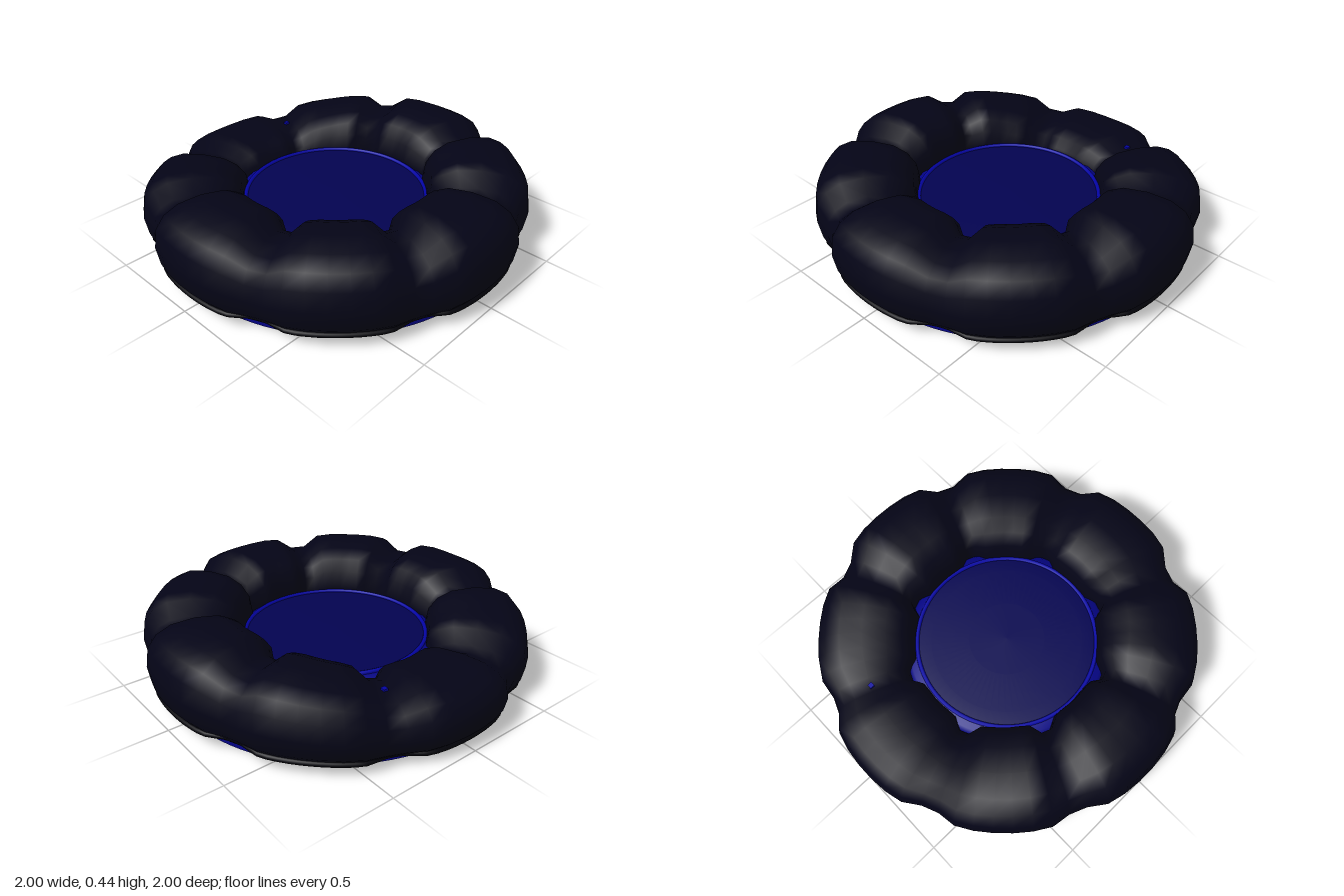
import * as THREE from 'three';

const material = (name, color, side = THREE.FrontSide) => {
  const m = new THREE.MeshStandardMaterial({ color, side });
  m.name = name;
  return m;
};

const PUFFS = 8, BOTTOM = 0.005;

// Measurements of the padded ring at angle t, where t = 0 is the back
function ringAt(t) {
  const step = (Math.PI * 2) / PUFFS;
  const phase = (t / step - Math.round(t / step)) * 2;   // -1..1 across one puff
  const pinch = THREE.MathUtils.smoothstep(Math.abs(phase), 0.55, 0.9);
  const fromBack = Math.abs(Math.atan2(Math.sin(t), Math.cos(t))) * 180 / Math.PI;
  const s = THREE.MathUtils.smoothstep(fromBack, 0, 85);
  const full = fromBack > 67.5 ? 0.44 : 0.31 + 0.13 * s;  // lower entrance at the back
  return {
    top: full * (1 - 0.16 * pinch),
    full,
    outer: 1 - 0.04 * pinch,
    inner: 0.48 + 0.055 * pinch,
  };
}

// Padded ring: a rounded cross-section swept round, pinched between puffs
function bolsterGeometry(around = 64, sides = 16) {
  const pos = [], idx = [];
  const round = v => Math.sign(v) * Math.pow(Math.abs(v), 2 / 2.5);
  for (let i = 0; i < around; i++) {
    const t = ((i + 0.5) / around) * Math.PI * 2;
    const { top, outer, inner } = ringAt(t);
    for (let j = 0; j < sides; j++) {
      const p = (j / sides) * Math.PI * 2;
      const r = (outer + inner) / 2 + (outer - inner) / 2 * round(Math.cos(p));
      const y = (top + BOTTOM) / 2 + (top - BOTTOM) / 2 * round(Math.sin(p));
      pos.push(r * Math.sin(t), y, -r * Math.cos(t));
      const a = i * sides + j, b = i * sides + (j + 1) % sides;
      const n = ((i + 1) % around) * sides;
      const c = n + j, d = n + (j + 1) % sides;
      idx.push(a, b, c, b, d, c);
    }
  }
  const g = new THREE.BufferGeometry();
  g.setAttribute('position', new THREE.Float32BufferAttribute(pos, 3));
  g.setIndex(idx);
  g.computeVertexNormals();
  return g;
}

export function createModel() {
  const group = new THREE.Group();
  const navy = material('darkNavyFabric', 0x040416);
  const seam = material('darkSeam', 0x020209, THREE.DoubleSide);
  const blue = material('deepBlueFabric', 0x030350, THREE.DoubleSide);
  const base = material('mediumBlueFabric', 0x040484, THREE.DoubleSide);
  const trim = material('brightBlueTrim', 0x0404a4, THREE.DoubleSide);

  const add = (name, geometry, mat, y = 0) => {
    const mesh = new THREE.Mesh(geometry, mat);
    mesh.name = name;
    mesh.position.y = y;
    group.add(mesh);
    return mesh;
  };
  const flat = (geometry, up) => geometry.rotateX(up ? -Math.PI / 2 : Math.PI / 2);
  const lathe = points => new THREE.LatheGeometry(
    points.map(([x, y]) => new THREE.Vector2(x, y)), 64);

  add('bolster', bolsterGeometry(), navy);

  // Piping that follows the puffs low on the outside
  const path = [];
  for (let i = 0; i < 64; i++) {
    const t = ((i + 0.5) / 64) * Math.PI * 2;
    const { outer, full } = ringAt(t);
    const r = outer - 0.04;
    path.push(new THREE.Vector3(r * Math.sin(t), 0.08 * full / 0.44, -r * Math.cos(t)));
  }
  add('lowerPiping', new THREE.TubeGeometry(
    new THREE.CatmullRomCurve3(path, true), 128, 0.014, 8, true), seam);

  // Base: rim band and underside panels
  add('baseRim', new THREE.CylinderGeometry(0.88, 0.88, 0.04, 96, 1, true), base, 0.02);
  add('undersidePanel', flat(new THREE.CircleGeometry(0.63, 64), false), base, 0.02);
  add('undersideRing', flat(new THREE.RingGeometry(0.605, 0.82, 16), false), navy, 0.014);
  add('undersideSeam', flat(new THREE.RingGeometry(0.435, 0.443, 64), false), seam, 0.018);

  // Cushion: wide body showing in the folds, gently domed top, bright piped edge
  add('cushionBody', lathe([[0.54, 0.025], [0.54, 0.17], [0.52, 0.195], [0.47, 0.21]]), base);
  add('cushionTop', lathe([[0.474, 0.208], [0.4, 0.215], [0.2, 0.22], [0, 0.222]]), blue);
  add('cushionPiping', flat(new THREE.TorusGeometry(0.476, 0.011, 8, 96), true), trim, 0.212);

  // Small tag caught in a fold beside the entrance
  const tag = add('tag', new THREE.BoxGeometry(0.025, 0.03, 0.025), trim, 0.275);
  tag.position.x = 0.28;
  tag.position.z = -0.69;

  return group;
}
